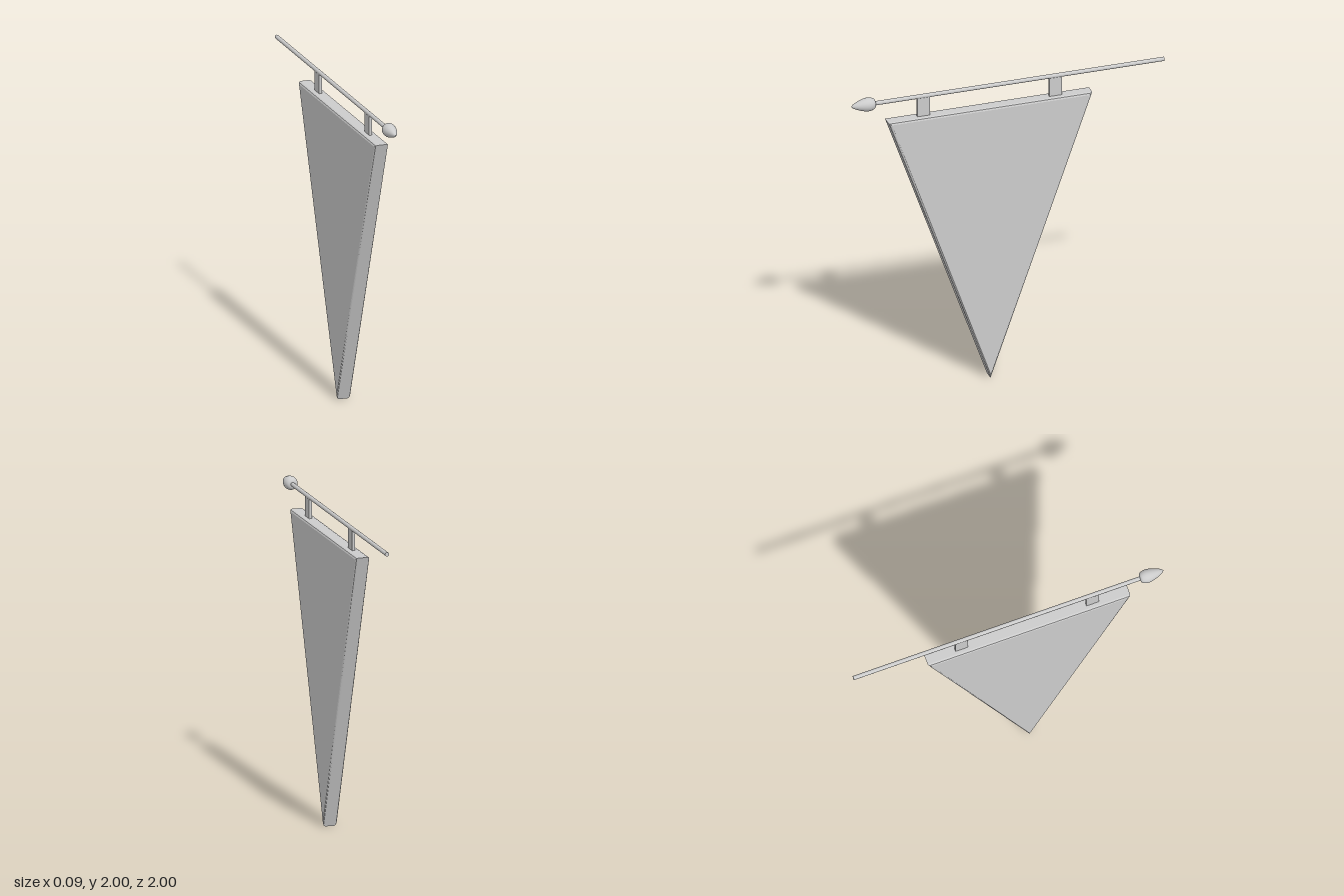
import * as THREE from 'three';

const POLE_Y = 1.957;
const CLOTH_Z = 0.122;

export function createModel() {
  const group = new THREE.Group();
  const grey = new THREE.MeshStandardMaterial({ color: 0xcccccc });
  const add = (name, geometry, x, y, z) => {
    const mesh = new THREE.Mesh(geometry, grey);
    mesh.name = name;
    mesh.position.set(x, y, z);
    group.add(mesh);
    return mesh;
  };

  // Triangular pennant: thick slab with softened edges
  const outline = new THREE.Shape([
    new THREE.Vector2(0, 0.024),
    new THREE.Vector2(0.633, 1.812),
    new THREE.Vector2(-0.633, 1.812),
  ]);
  const cloth = new THREE.ExtrudeGeometry(outline, {
    depth: 0.058,
    bevelEnabled: true,
    bevelThickness: 0.015,
    bevelSize: 0.017,
    bevelSegments: 2,
  });
  cloth.translate(0, 0, -0.029).rotateY(Math.PI / 2);
  add('pennant', cloth, 0, 0, CLOTH_Z);

  // Horizontal pole running front to back
  const pole = new THREE.CylinderGeometry(0.013, 0.013, 1.87, 16);
  pole.rotateX(Math.PI / 2);
  add('pole', pole, 0, POLE_Y, -0.065);

  // Pointed finial on the front end, turned around the pole's axis
  const profile = new THREE.SplineCurve([
    [0, 0], [0.02, 0.001], [0.034, 0.012], [0.042, 0.04],
    [0.038, 0.075], [0.025, 0.115], [0.011, 0.142], [0, 0.152],
  ].map(([r, h]) => new THREE.Vector2(r, h))).getPoints(28);
  profile.forEach((p) => { p.x = Math.max(p.x, 0); });
  const finial = new THREE.LatheGeometry(profile, 24);
  finial.rotateX(Math.PI / 2);
  add('finial', finial, 0, POLE_Y, 0.848);

  // Hanging tabs joining the pennant to the pole
  for (const [name, z] of [['frontTab', 0.54], ['backTab', -0.304]]) {
    add(name, new THREE.BoxGeometry(0.018, 0.14, 0.08), 0, 1.882, z);
  }

  return group;
}
